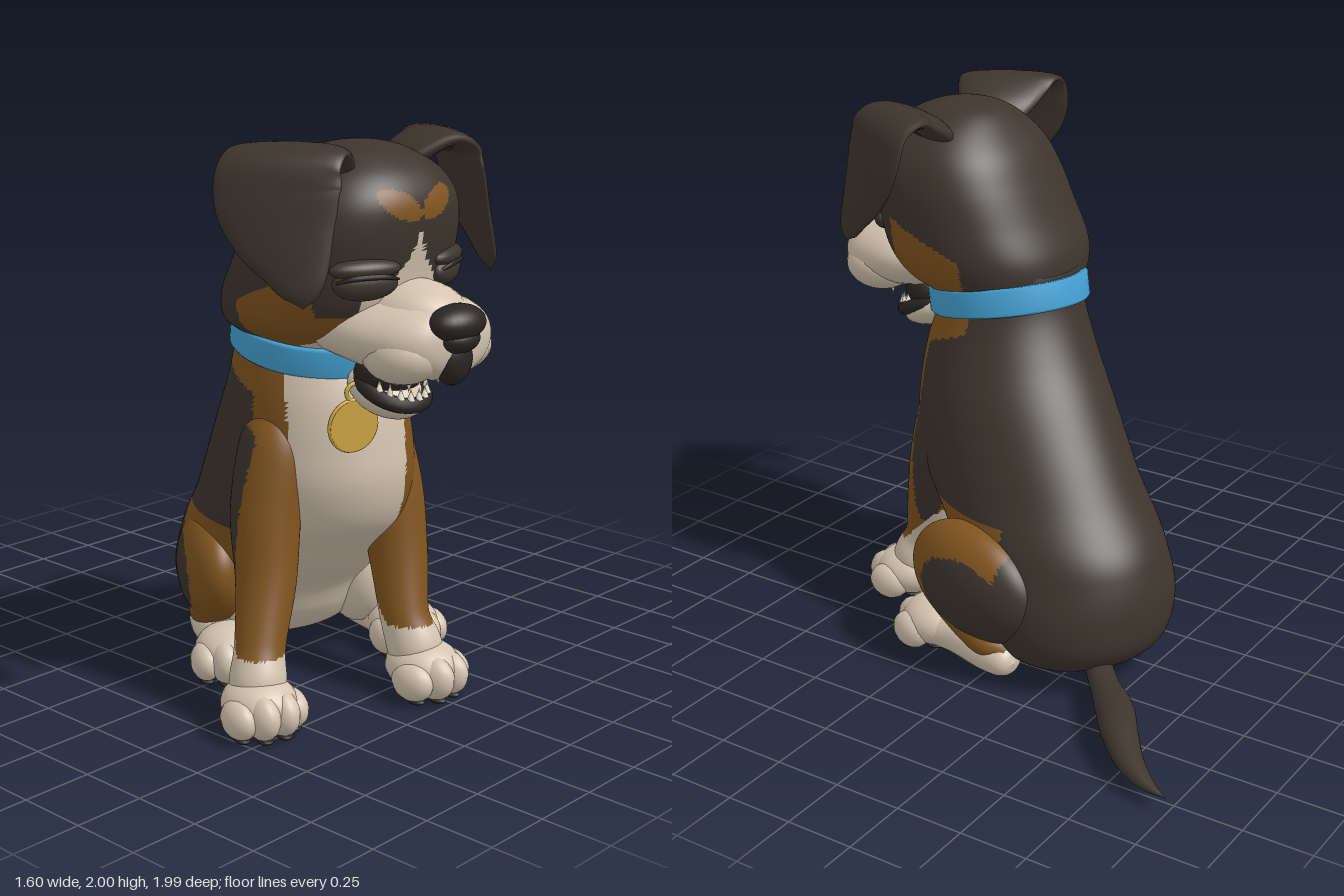
import * as THREE from 'three';

const mat = (name, color) => Object.assign(new THREE.MeshStandardMaterial({ color }), { name });
const V = (x, y, z) => new THREE.Vector3(x, y, z);

// Tube with elliptical sections: points are [x, y, z, halfA, halfB].
// A follows ref; flat fixes the section normal; bend below 1 squares the section.
function loft(pts, { ref = V(1, 0, 0), flat = null, bend = 1, segs = 32, sides = 26 } = {}) {
  const path = new THREE.CatmullRomCurve3(pts.map(p => V(p[0], p[1], p[2])), false, 'catmullrom', 0.5);
  const radii = new THREE.CatmullRomCurve3(pts.map(p => V(p[3], p[4], 0)), false, 'catmullrom', 0.5);
  const round = v => Math.sign(v) * Math.abs(v) ** bend;
  const pos = [], index = [];
  for (let i = 0; i <= segs; i++) {
    const t = i / segs, c = path.getPoint(t), r = radii.getPoint(t);
    const T = flat || path.getTangent(t);
    const A = ref.clone().addScaledVector(T, -ref.dot(T)).normalize();
    const B = T.clone().cross(A);
    for (let j = 0; j < sides; j++) {
      const f = j / sides * Math.PI * 2;
      const p = c.clone().addScaledVector(A, Math.max(r.x, 0) * round(Math.cos(f)))
        .addScaledVector(B, Math.max(r.y, 0) * round(Math.sin(f)));
      pos.push(p.x, p.y, p.z);
      if (i < segs) {
        const a = i * sides + j, b = i * sides + (j + 1) % sides;
        index.push(a, b, b + sides, a, b + sides, a + sides);
      }
    }
  }
  const g = new THREE.BufferGeometry();
  g.setAttribute('position', new THREE.Float32BufferAttribute(pos, 3));
  g.setIndex(index);
  g.computeVertexNormals();
  return g;
}

// Sorts triangles into material groups by a rule on their centre
function paint(g, rule, count) {
  const lists = Array.from({ length: count }, () => []), p = g.attributes.position, ix = g.index.array;
  for (let i = 0; i < ix.length; i += 3) {
    const tri = [ix[i], ix[i + 1], ix[i + 2]];
    const mid = k => tri.reduce((s, v) => s + p.getComponent(v, k), 0) / 3;
    lists[rule(mid(0), mid(1), mid(2))].push(...tri);
  }
  g.setIndex(lists.flat());
  let start = 0;
  lists.forEach((l, m) => { g.addGroup(start, l.length, m); start += l.length; });
  return g;
}

function add(parent, name, geo, material) {
  const m = new THREE.Mesh(geo, material);
  m.name = name;
  parent.add(m);
  return m;
}

function ball(parent, name, material, c, r, seg = 24) {
  const m = add(parent, name, new THREE.SphereGeometry(1, seg, Math.ceil(seg * 0.7)), material);
  m.position.set(...c);
  m.scale.set(...r);
  return m;
}

function group(parent, name) {
  const g = new THREE.Group();
  g.name = name;
  parent.add(g);
  return g;
}

export function createModel() {
  const model = new THREE.Group();
  model.name = 'sittingDog';
  const dark = mat('darkCoat', 0x3d352d), tan = mat('tanCoat', 0x80541f), cream = mat('creamCoat', 0xd4c4b0);
  const black = mat('noseBlack', 0x2a2523), blue = mat('collarBlue', 0x45a3d6), gold = mat('tagGold', 0xcfa843);
  const ivory = mat('toothIvory', 0xe9e0d0);
  const coat = [dark, tan, cream], DARK = 0, TAN = 1, CREAM = 2;
  const up = V(0, 1, 0);

  // Body, turned away from the head's direction
  const body = group(model, 'body');
  body.position.set(0.05, 0, -0.05);
  body.rotation.y = -0.41;
  const torso = loft([
    [-0.03, 0.03, -0.18, 0, 0], [-0.03, 0.05, -0.18, 0.2, 0.16], [-0.03, 0.1, -0.18, 0.3, 0.27],
    [-0.031, 0.18, -0.172, 0.35, 0.335], [-0.038, 0.3, -0.137, 0.375, 0.375], [-0.042, 0.42, -0.047, 0.375, 0.44],
    [-0.042, 0.52, 0.029, 0.37, 0.47], [-0.044, 0.65, 0.15, 0.365, 0.48], [-0.051, 0.8, 0.235, 0.355, 0.455],
    [-0.06, 0.95, 0.289, 0.335, 0.4], [-0.074, 1.1, 0.333, 0.305, 0.335], [-0.088, 1.25, 0.35, 0.27, 0.275],
    [-0.096, 1.4, 0.359, 0.25, 0.25]], { flat: up, segs: 110, sides: 120 });
  add(body, 'torso', paint(torso, (x, y, z) => {
    const across = Math.abs(x + 0.07);
    if (y < 0.06) return TAN;
    if (z > (y > 0.6 ? 0.4 : 0.02) && across < (y < 0.55 ? 0.27 : 0.215)) return CREAM;
    if (y < 0.59 && z > (y > 0.5 ? -0.14 : 0.05)) return TAN;
    const edge = 0.25 + 0.21 * THREE.MathUtils.smoothstep(1.2 - y, 0, 0.1);
    return z > edge ? TAN : DARK;
  }, 3), coat);

  // Paw: palm, four rounded toes and the pads beneath
  function paw(parent, name, x, z, yaw) {
    const p = group(parent, name);
    p.position.set(x, 0, z);
    p.rotation.y = yaw;
    ball(p, 'palm', cream, [0, 0.105, 0.02], [0.13, 0.095, 0.14]);
    ball(p, 'palmPad', black, [0, 0.013, 0.0], [0.065, 0.013, 0.05], 12);
    [-0.1, -0.038, 0.038, 0.1].forEach((tx, i) => {
      const outer = i % 3 === 0, tz = outer ? 0.055 : 0.1;
      ball(p, 'toe', cream, [tx, outer ? 0.078 : 0.088, tz], [0.055, outer ? 0.07 : 0.08, 0.085], 18);
      ball(p, 'toePad', black, [tx, 0.013, tz + 0.02], [0.028, 0.013, 0.035], 10);
    });
  }

  for (const s of [1, -1]) {
    const side = s > 0 ? 'left' : 'right';
    // Front leg; the right one is set further forward and out at the paw
    const front = group(body, side + 'FrontLeg');
    front.position.z = s > 0 ? 0 : 0.08;
    const lx = o => -0.09 + s * o, out = s > 0 ? 0.035 : 0, foot = s > 0 ? 0.305 : 0.35;
    const leg = loft([
      [lx(0.16 + out), 1.1, 0.36, 0, 0], [lx(0.17 + out), 1.04, 0.365, 0.08, 0.09],
      [lx(0.19 + out), 0.92, 0.38, 0.12, 0.14], [lx(0.235 + out), 0.7, 0.41, 0.12, 0.14],
      [lx(0.262 + out / 2), 0.48, 0.475, 0.105, 0.11], [lx(foot - 0.035), 0.28, 0.55, 0.088, 0.09],
      [lx(foot - 0.01), 0.16, 0.59, 0.098, 0.1], [lx(foot), 0.06, 0.6, 0.07, 0.07]], { segs: 72, sides: 50 });
    add(front, 'foreleg', paint(leg, (x, y, z) => {
      if (y < 0.26 + 0.9 * Math.max(0, 0.58 - z) && y < 0.48) return CREAM;
      return z < 0.45 && y > 0.4 && s * (x - lx(0.25 + out)) > 0.035 ? DARK : TAN;
    }, 3), coat);
    paw(front, 'frontPaw', lx(foot), 0.6, s > 0 ? 0.41 : 0.16);

    // Hind leg: raised knee with a tan rim, calf, long foot flat on the ground
    const hind = group(body, side + 'HindLeg');
    const thigh = paint(new THREE.SphereGeometry(1, 64, 48), (x, y, z) => {
      if (s * x < -0.5) return CREAM;
      return z < -0.5 || (s * x > 0 && Math.hypot(y + 0.1, z + 0.12) < 0.7) ? DARK : TAN;
    }, 3);
    const th = add(hind, 'thigh', thigh, coat);
    th.scale.set(0.135, 0.215, 0.29);
    th.position.set(s * 0.325, 0.355, -0.03);
    th.rotation.set(-0.2, s * 0.26, 0, 'YXZ');
    add(hind, 'calf', loft([
      [s * 0.36, 0.34, 0.16, 0.03, 0.03], [s * 0.355, 0.28, 0.12, 0.085, 0.075], [s * 0.335, 0.2, 0, 0.085, 0.075],
      [s * 0.31, 0.14, -0.12, 0.075, 0.06], [s * 0.295, 0.12, -0.2, 0.03, 0.03]]), tan);
    add(hind, 'foot', loft([
      [s * 0.29, 0.09, -0.23, 0, 0], [s * 0.295, 0.09, -0.2, 0.06, 0.055], [s * 0.3, 0.09, -0.1, 0.085, 0.075],
      [s * 0.32, 0.095, 0.06, 0.09, 0.08], [s * 0.34, 0.1, 0.18, 0.11, 0.08], [s * 0.345, 0.1, 0.22, 0.05, 0.04]]), cream);
    paw(hind, 'hindPaw', s * 0.345, 0.185, s * 0.15);
    ball(hind, 'innerThigh', cream, [s * 0.23, 0.28, 0.02], [0.12, 0.21, 0.19]);
  }

  // Tail lying on the ground
  add(model, 'tail', loft([
    [0.22, 0.1, -0.38, 0.05, 0.05], [0.34, 0.08, -0.49, 0.055, 0.045], [0.46, 0.085, -0.6, 0.068, 0.05],
    [0.58, 0.09, -0.69, 0.065, 0.05], [0.69, 0.075, -0.79, 0.052, 0.038], [0.76, 0.06, -0.89, 0.032, 0.024],
    [0.8, 0.055, -0.995, 0, 0]]), dark);

  // Collar and tag
  const band = [[0.27, -0.05], [0.3, -0.05], [0.308, -0.04], [0.308, 0.04], [0.3, 0.05], [0.27, 0.05], [0.27, -0.05]];
  const collar = add(model, 'collar', new THREE.LatheGeometry(band.map(p => new THREE.Vector2(...p)), 64), blue);
  collar.position.set(-0.17, 1.285, 0.25);
  collar.rotation.set(0.17, 0, 0.07);
  collar.scale.set(0.95, 1.04, 0.98);
  const tag = group(model, 'tag');
  tag.position.set(-0.33, 1.04, 0.565);
  tag.rotation.set(0.05, -0.35, 0);
  add(tag, 'tagDisc', new THREE.CylinderGeometry(0.088, 0.088, 0.02, 40).rotateX(Math.PI / 2), gold);
  add(tag, 'tagRim', new THREE.TorusGeometry(0.085, 0.01, 8, 36), gold);
  add(tag, 'tagLoop', new THREE.TorusGeometry(0.03, 0.008, 8, 20), gold).position.y = 0.115;

  // Head, facing forward
  const head = group(model, 'head');
  head.position.x = -0.215;
  const skull = loft([
    [0.04, 1.24, 0.25, 0.2, 0.2], [0.03, 1.31, 0.28, 0.265, 0.27], [0.005, 1.37, 0.33, 0.335, 0.325],
    [0, 1.46, 0.37, 0.365, 0.35], [0, 1.58, 0.415, 0.367, 0.335], [0, 1.7, 0.455, 0.358, 0.318],
    [0, 1.8, 0.48, 0.325, 0.29], [0, 1.88, 0.49, 0.26, 0.232], [0, 1.94, 0.48, 0.165, 0.155],
    [0, 1.965, 0.475, 0.09, 0.08], [0, 1.975, 0.475, 0, 0]], { flat: up, bend: 0.85, segs: 110, sides: 130 });
  add(head, 'skull', paint(skull, (x, y, z) => {
    const b = Math.abs(x + 0.025);
    if (z > 0.5 && y < 1.7 && b < 0.014 + 4 * (1.7 - y) ** 2 && b < 0.19) return CREAM;
    if (z > 0.4 && Math.hypot((b - 0.082) / 0.08, (y - 1.79 - 0.35 * (b - 0.08)) / 0.045) < 1) return TAN;
    if (z > 0.4 && Math.abs(x) < 0.2 && y < 1.4) return CREAM;
    return z > 0.26 && y < (z > 0.57 ? 1.43 : 1.59 - 0.42 * (0.57 - z)) ? TAN : DARK;
  }, 3), coat);

  // Muzzle with a narrow bridge, jowls and nose
  add(head, 'muzzle', loft([
    [0, 1.37, 0.5, 0.24, 0.11], [0, 1.37, 0.66, 0.262, 0.135], [0, 1.365, 0.78, 0.245, 0.14],
    [0, 1.36, 0.86, 0.215, 0.132], [0, 1.36, 0.915, 0.165, 0.11], [0, 1.36, 0.945, 0.09, 0.065],
    [0, 1.36, 0.953, 0, 0]], { flat: V(0, 0, 1), segs: 40, sides: 40 }), cream);
  ball(head, 'bridge', cream, [-0.015, 1.43, 0.73], [0.16, 0.115, 0.2]);
  for (const s of [1, -1]) ball(head, 'jowl', cream, [s * 0.125, 1.32, 0.78], [0.125, 0.1, 0.14]);
  ball(head, 'nose', black, [-0.025, 1.425, 0.92], [0.118, 0.062, 0.08]);
  ball(head, 'noseBase', black, [-0.025, 1.375, 0.92], [0.09, 0.05, 0.07]);
  ball(head, 'philtrum', black, [-0.025, 1.31, 0.91], [0.075, 0.09, 0.055]);

  // Open mouth: lower jaw, dark lining and small teeth
  ball(head, 'lowerJaw', cream, [0, 1.15, 0.61], [0.13, 0.075, 0.14]).rotation.x = 0.4;
  ball(head, 'mouthLining', black, [0, 1.215, 0.62], [0.125, 0.085, 0.11]);
  const lip = add(head, 'lowerLip', new THREE.TorusGeometry(0.112, 0.027, 10, 36).rotateX(Math.PI / 2 + 0.42), black);
  lip.position.set(0, 1.165, 0.64);
  for (let i = -4; i <= 4; i++) {
    const a = i * 0.32, fang = Math.abs(i) === 3;
    const tooth = add(head, 'tooth', new THREE.ConeGeometry(0.014, fang ? 0.06 : 0.04, 8), ivory);
    tooth.position.set(Math.sin(a) * 0.112, 1.205 - 0.046 * Math.cos(a), 0.64 + Math.cos(a) * 0.112);
  }
  for (const s of [1, -1]) {
    const fang = add(head, 'upperFang', new THREE.ConeGeometry(0.017, 0.06, 10).rotateX(Math.PI), ivory);
    fang.position.set(s * 0.075, 1.21, 0.77);
  }

  for (const s of [1, -1]) {
    const side = s > 0 ? 'left' : 'right';
    // Closed eye: lid bulges with a dark slit
    const eye = group(head, side + 'Eye');
    eye.position.set(s * 0.2 - 0.015, 1.56, 0.7);
    eye.rotation.y = s * 0.42;
    ball(eye, 'lowerLid', dark, [0, -0.012, 0], [0.115, 0.055, 0.045]);
    ball(eye, 'upperLid', dark, [0, 0.035, 0], [0.125, 0.035, 0.05]);
    add(eye, 'lidSlit', loft([[-0.11, 0.0, 0.02, 0.004, 0.004], [-0.05, 0.014, 0.042, 0.009, 0.008],
      [0.05, 0.014, 0.042, 0.009, 0.008], [0.11, 0.0, 0.02, 0.004, 0.004]], { ref: up, segs: 20, sides: 10 }), black);

    // Folded ear flap, its front edge turned inward
    const ex = o => s * o - (s > 0 ? 0 : 0.04);
    add(head, side + 'Ear', loft([
      [ex(0.12), 1.84, 0.48, 0.1, 0.04], [ex(0.21), 1.91, 0.5, 0.15, 0.045], [ex(0.32), 1.96, 0.53, 0.185, 0.038],
      [ex(0.405), 1.93, 0.55, 0.2, 0.034], [ex(0.435), 1.84, 0.565, 0.205, 0.03], [ex(0.44), 1.74, 0.6, 0.175, 0.028],
      [ex(0.44), 1.63, 0.65, 0.115, 0.025], [ex(0.445), 1.55, 0.68, 0.065, 0.02], [ex(0.45), 1.505, 0.69, 0, 0]],
    { ref: V(-s * 0.48, 0, 0.88), segs: 52 }), dark);
  }
  return model;
}
